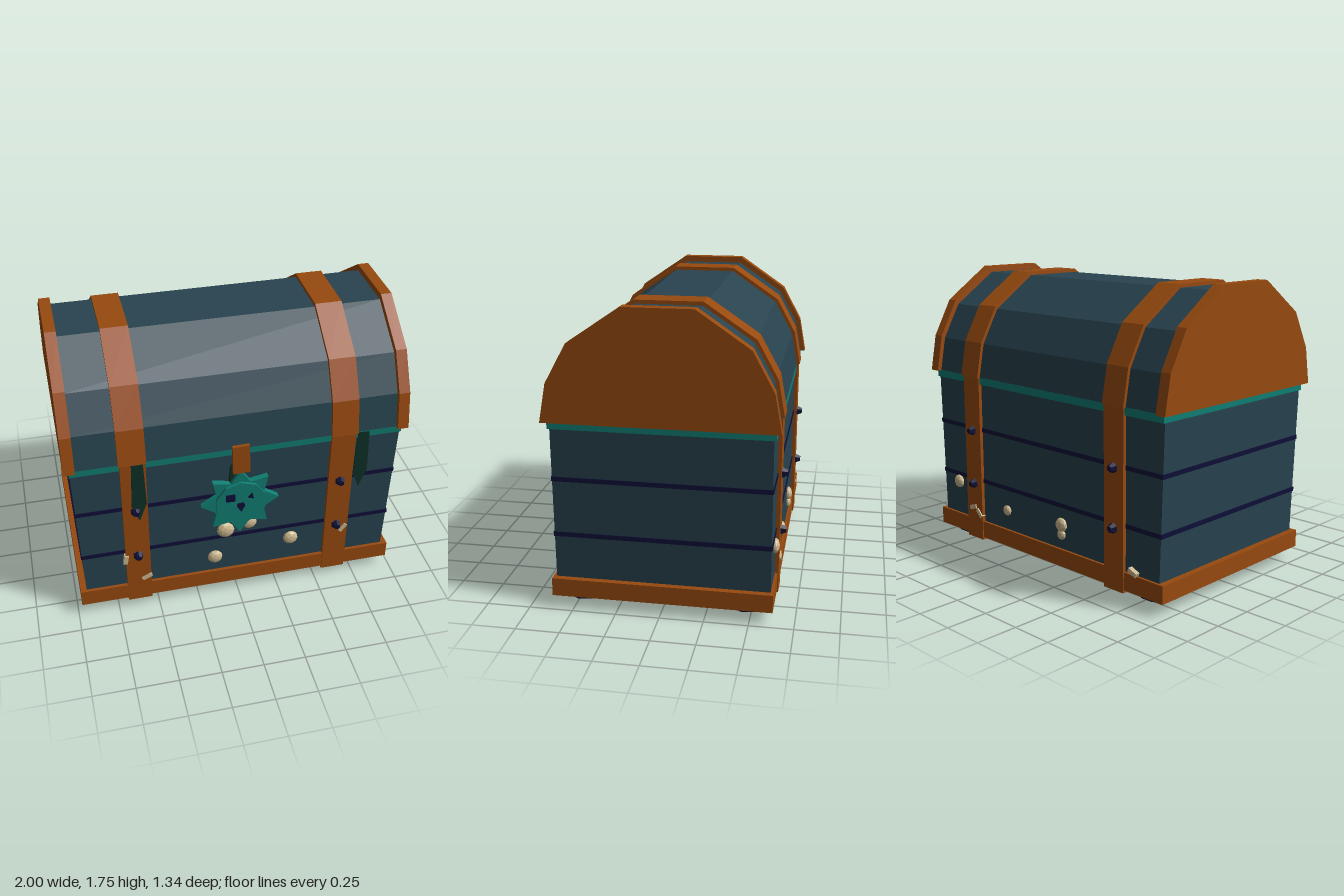
import * as THREE from 'three';

const paint = (name, color) => {
  const m = new THREE.MeshStandardMaterial({ color });
  m.name = name;
  return m;
};

export function createModel() {
  const blue = paint('slate blue planks', 0x28434f);
  const copper = paint('copper trim', 0x984a0f);
  const teal = paint('teal trim', 0x107f74);
  const navy = paint('navy iron', 0x0f0f38);
  const weed = paint('dark green weed', 0x0e3028);
  const shell = paint('pale shell', 0xcdb98f);

  const chest = new THREE.Group();
  chest.name = 'chest';

  // Adds a mesh with flat facets
  const add = (name, geo, mat, x = 0, y = 0, z = 0) => {
    const g = geo.index ? geo.toNonIndexed() : geo;
    g.computeVertexNormals();
    const mesh = new THREE.Mesh(g, mat);
    mesh.name = name;
    mesh.position.set(x, y, z);
    chest.add(mesh);
    return mesh;
  };
  const box = (name, mat, x0, x1, y0, y1, z0, z1) =>
    add(name, new THREE.BoxGeometry(x1 - x0, y1 - y0, z1 - z0), mat,
      (x0 + x1) / 2, (y0 + y1) / 2, (z0 + z1) / 2);
  const shapeOf = (pts) => new THREE.Shape(pts.map(([x, y]) => new THREE.Vector2(x, y)));
  const plate = (name, mat, pts, depth, x, y, z) =>
    add(name, new THREE.ExtrudeGeometry(shapeOf(pts), { depth, bevelEnabled: false }), mat, x, y, z);

  // Plank body, slightly narrower at the bottom
  const body = new THREE.BoxGeometry(1.93, 0.9, 1.215);
  const p = body.attributes.position;
  for (let i = 0; i < p.count; i++) if (p.getY(i) < 0) p.setX(i, p.getX(i) * 0.972);
  add('body', body, blue, 0, 0.63, -0.007);

  box('base', copper, -0.975, 0.975, 0.08, 0.185, -0.63, 0.62);
  box('rim', teal, -0.97, 0.97, 1.07, 1.115, -0.628, 0.614);
  for (const [y, w] of [[0.78, 0.96], [0.45, 0.952]])
    box('ironBand', navy, -w, w, y - 0.013, y + 0.013, -0.619, 0.605);

  // Arched lid sections share one faceted profile
  const arch = [[-0.65, 0], [-0.61, 0.22], [-0.49, 0.44], [-0.195, 0.642],
    [0.195, 0.642], [0.49, 0.44], [0.61, 0.22], [0.65, 0]];
  const lidPart = (name, mat, x0, x1, sz, sy) => {
    const part = plate(name, mat, arch.map(([z, y]) => [z * sz, y * sy]), x1 - x0, x0, 1.112, -0.006);
    part.rotation.y = Math.PI / 2;
  };
  lidPart('lid', blue, -0.94, 0.94, 0.957, 0.942);
  for (const s of [-1, 1]) {
    const span = (a, b) => (s > 0 ? [a, b] : [-b, -a]);
    lidPart('lidEnd', copper, ...span(0.935, 1), 1, 1);
    lidPart('lidStrap', copper, ...span(0.54, 0.698), 0.987, 0.975);
    box('bodyStrap', copper, ...span(0.543, 0.69), 0.063, 1.113, -0.636, 0.624);

    // Studs on the straps, front and back
    for (const y of [0.425, 0.77]) for (const f of [-1, 1]) {
      const stud = add('stud', new THREE.CylinderGeometry(0.018, 0.033, 0.035, 6), navy, s * 0.615, y, f * 0.645 - 0.006);
      stud.rotation.x = f * Math.PI / 2;
    }

    // Pointed feet
    for (const z of [-0.475, 0.465]) {
      const profile = [[0, 0.005], [0.05, 0.018], [0.112, 0.045], [0.115, 0.07], [0.09, 0.085], [0, 0.085]];
      add('foot', new THREE.LatheGeometry(profile.map(([r, y]) => new THREE.Vector2(r, y)), 9), navy, s * 0.815, 0, z);
    }
  }

  // Spiked emblem with a raised disc and a simple face
  const ring = (n, radius) => Array.from({ length: n }, (_, i) => {
    const a = Math.PI / 2 + (i / n) * Math.PI * 2;
    const r = radius(i);
    return [Math.cos(a) * r, Math.sin(a) * r];
  });
  plate('emblemSpikes', teal, ring(16, (i) => (i % 2 ? 0.155 : 0.232)), 0.035, 0, 0.738, 0.61);
  plate('emblemDisc', teal, ring(10, () => 0.155), 0.05, 0, 0.738, 0.61);
  plate('emblemEye', navy, [[-0.028, -0.022], [0.028, -0.024], [0.027, 0.026], [-0.027, 0.026]], 0.006, -0.063, 0.79, 0.66);
  plate('emblemEye', navy, [[-0.022, -0.008], [0.015, -0.022], [0.006, 0.022]], 0.006, 0.06, 0.79, 0.66);
  plate('emblemNose', navy, [[0, -0.04], [0.024, 0.005], [0.016, 0.026], [-0.022, 0.024], [-0.026, 0.004]], 0.006, 0, 0.72, 0.66);
  const hasp = box('hasp', copper, -0.05, 0.05, 0.975, 1.165, 0.65, 0.67);
  hasp.rotation.z = 0.03;
  hasp.position.x = -0.005;

  // Hanging weed
  const leaf = [[-0.032, 0], [0.035, 0], [0.045, -0.28], [0.0, -0.405], [-0.042, -0.3]];
  plate('weed', weed, leaf, 0.008, -0.594, 1.105, 0.625);
  plate('weed', weed, leaf, 0.008, 0.737, 1.105, 0.61);
  plate('weed', weed, [[-0.03, -0.08], [0.03, -0.05], [0.02, 0.07], [-0.02, 0.05]], 0.02, -0.035, 0.945, 0.605);

  // Barnacles: x, y, size, side
  const barnacles = [[-0.08, 0.505, 0.054, 1], [0.065, 0.542, 0.047, 1], [-0.145, 0.3, 0.046, 1], [0.33, 0.36, 0.047, 1],
    [0.79, 0.4, 0.043, -1], [0.31, 0.31, 0.033, -1], [-0.18, 0.335, 0.043, -1], [-0.18, 0.275, 0.032, -1]];
  barnacles.forEach(([x, y, r, f], i) => {
    const b = add('barnacle', new THREE.IcosahedronGeometry(r, 1), shell, x, y, f * 0.617 - 0.006);
    b.scale.z = 0.55;
    b.rotation.z = i;
  });

  // Shell chips: x, y, tilt, side
  const chips = [[-0.69, 0.4, 1.4, 1], [-0.57, 0.24, 0.45, 1], [0.66, 0.39, 0.95, 1],
    [0.63, 0.265, -0.3, -1], [0.57, 0.235, 0.8, -1], [-0.76, 0.205, 0.4, -1]];
  for (const [x, y, tilt, f] of chips) {
    const chip = add('shellChip', new THREE.BoxGeometry(0.062, 0.026, 0.03), shell, x, y, f * 0.622 - 0.006);
    chip.rotation.z = tilt;
  }

  return chest;
}
